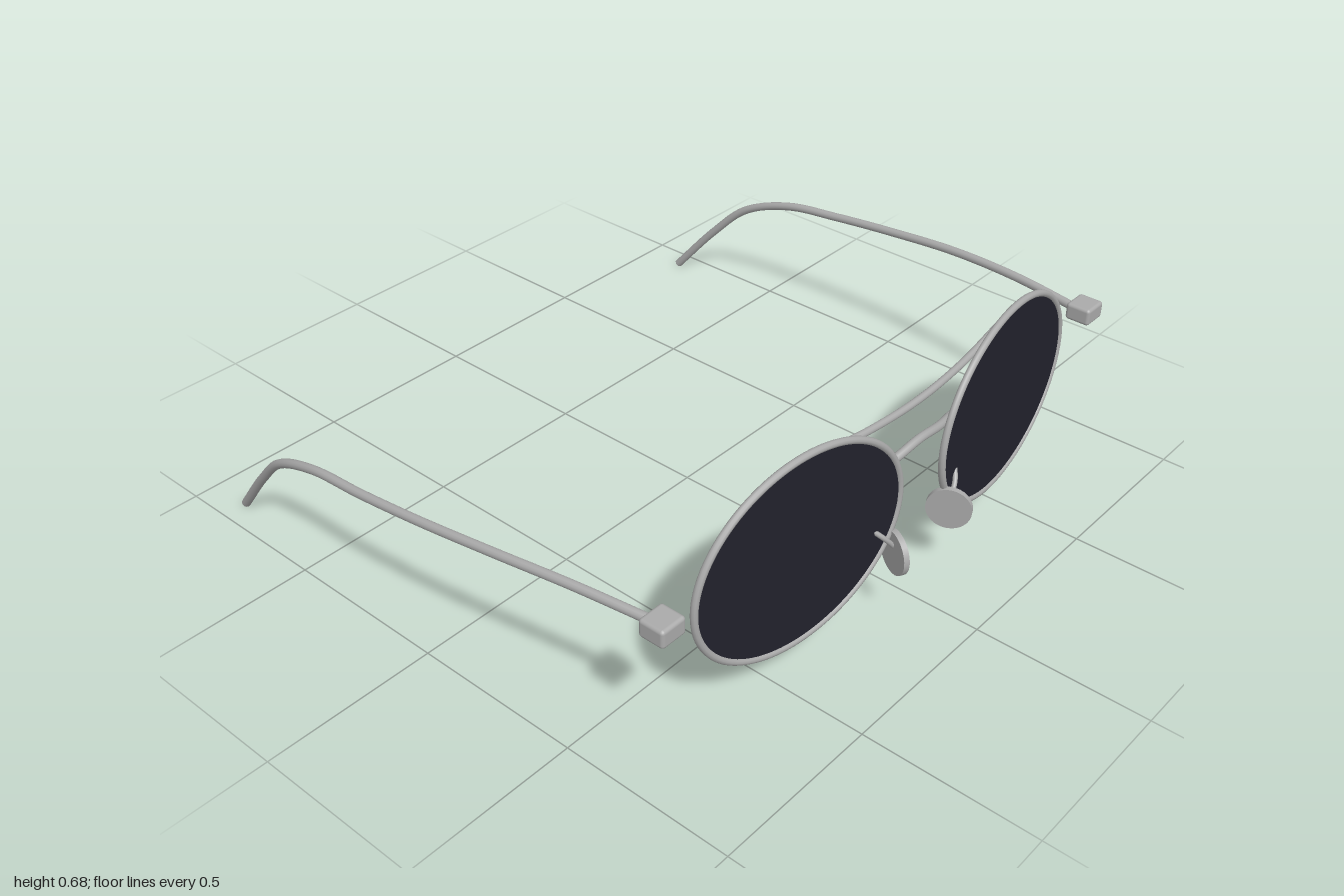
import * as THREE from 'three';
import { RoundedBoxGeometry } from 'three/addons/geometries/RoundedBoxGeometry.js';

const metal = new THREE.MeshStandardMaterial({ color: 0xaaaaaa });
metal.name = 'brushed metal';
const tint = new THREE.MeshStandardMaterial({ color: 0x21212c });
tint.name = 'dark lens';

function add(parent, name, geometry, material = metal) {
  const mesh = new THREE.Mesh(geometry, material);
  mesh.name = name;
  parent.add(mesh);
  return mesh;
}

// Round wire through points, with closed ends
function wire(parent, name, points, radius, segments = 48) {
  const curve = new THREE.CatmullRomCurve3(points.map(p => new THREE.Vector3(...p)));
  const group = new THREE.Group();
  group.name = name;
  parent.add(group);
  add(group, name + 'Wire', new THREE.TubeGeometry(curve, segments, radius, 12));
  for (const t of [0, 1]) {
    const cap = add(group, name + 'End', new THREE.CircleGeometry(radius, 12));
    const outward = curve.getTangent(t).multiplyScalar(t ? 1 : -1);
    cap.position.copy(curve.getPoint(t));
    cap.quaternion.setFromUnitVectors(new THREE.Vector3(0, 0, 1), outward);
  }
}

// Closed elliptical path of the rim
class Ellipse extends THREE.Curve {
  getPoint(t, target = new THREE.Vector3()) {
    const a = t * Math.PI * 2;
    return target.set(0.348 * Math.cos(a), 0.279 * Math.sin(a), 0);
  }
}

function buildSide(s, label) {
  const side = new THREE.Group();
  side.name = label + 'Side';
  const mirror = points => points.map(([x, y, z]) => [s * x, y, z]);

  // Rim and lens, wrapped slightly back
  const eye = new THREE.Group();
  eye.name = label + 'Eye';
  eye.position.set(s * 0.441, 0.4, 0.751);
  eye.rotation.y = s * 0.11;
  side.add(eye);
  add(eye, 'rim', new THREE.TubeGeometry(new Ellipse(), 96, 0.01, 10, true));
  const lens = new THREE.CylinderGeometry(1, 1, 0.008, 72);
  lens.rotateX(Math.PI / 2);
  lens.scale(0.345, 0.276, 1);
  add(eye, 'lens', lens, tint);

  // Nose pad and its arm
  const pad = new THREE.CylinderGeometry(0.062, 0.062, 0.016, 32);
  pad.rotateZ(Math.PI / 2);
  const padMesh = add(side, 'nosePad', pad);
  padMesh.position.set(s * 0.122, 0.235, 0.808);
  padMesh.rotation.y = s * 0.44;
  wire(side, 'padArm', mirror([[0.2, 0.34, 0.758], [0.16, 0.295, 0.795], [0.122, 0.25, 0.805]]), 0.007, 16);

  // Hinge block
  const hinge = add(side, 'hinge', new RoundedBoxGeometry(0.08, 0.052, 0.076, 2, 0.01));
  hinge.position.set(s * 0.904, 0.455, 0.722);

  // Temple, bowed outward and hooked down behind the ear
  wire(side, 'temple', mirror([
    [0.9, 0.452, 0.71], [0.936, 0.456, 0.48], [0.966, 0.444, 0.24], [0.981, 0.419, 0],
    [0.985, 0.394, -0.22], [0.979, 0.368, -0.42], [0.967, 0.3, -0.59],
    [0.95, 0.186, -0.71], [0.928, 0.014, -0.857],
  ]), 0.013, 80);
  return side;
}

export function createModel() {
  const model = new THREE.Group();
  model.name = 'sunglasses';
  model.add(buildSide(1, 'left'), buildSide(-1, 'right'));

  // Arched nose bridge
  wire(model, 'bridge', [
    [-0.195, 0.463, 0.742], [-0.1, 0.487, 0.765], [0, 0.504, 0.773],
    [0.1, 0.487, 0.765], [0.195, 0.463, 0.742],
  ], 0.012);

  // Brow bar running behind the tops of the lenses
  wire(model, 'browBar', [
    [-0.405, 0.644, 0.737], [-0.2, 0.626, 0.756], [0, 0.619, 0.763],
    [0.2, 0.626, 0.756], [0.405, 0.644, 0.737],
  ], 0.01);
  return model;
}
